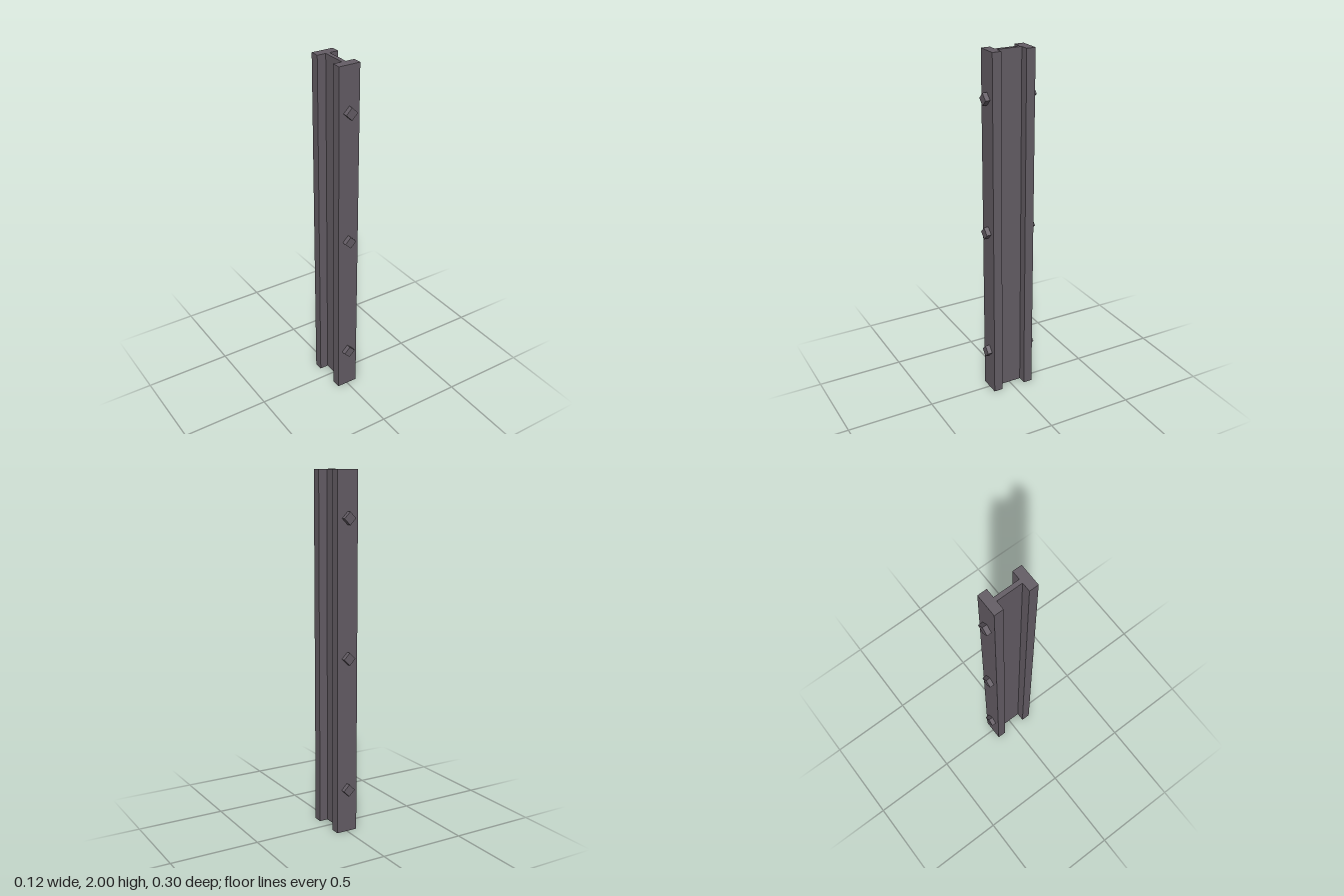
import * as THREE from 'three';

export function createModel() {
  const group = new THREE.Group();
  group.name = 'steelBeam';
  const steel = new THREE.MeshStandardMaterial({ color: 0x645d65, flatShading: true });
  steel.name = 'dark steel';

  // I-shaped cross-section: two thick flanges joined by a thin web
  const flange = 0.062, web = 0.012, outer = 0.124, inner = 0.072;
  const half = [[flange, -outer], [flange, -inner], [web, -inner], [web, inner], [flange, inner], [flange, outer]];
  const outline = [...half, ...half.map(([x, y]) => [-x, -y])];
  const section = new THREE.Shape(outline.map(([x, y]) => new THREE.Vector2(x, y)));
  const beamGeometry = new THREE.ExtrudeGeometry(section, { depth: 2, bevelEnabled: false });
  beamGeometry.rotateX(-Math.PI / 2);
  const beam = new THREE.Mesh(beamGeometry, steel);
  beam.name = 'beam';
  group.add(beam);

  // Four-sided rivets standing proud of both flanges
  const rivetGeometry = new THREE.CylinderGeometry(0.035, 0.035, 0.04, 4);
  rivetGeometry.rotateX(Math.PI / 2);
  for (const side of [1, -1]) {
    for (const y of [0.25, 1, 1.75]) {
      const rivet = new THREE.Mesh(rivetGeometry, steel);
      rivet.name = side > 0 ? 'frontRivet' : 'backRivet';
      rivet.position.set(0, y, side * 0.13);
      group.add(rivet);
    }
  }
  return group;
}
